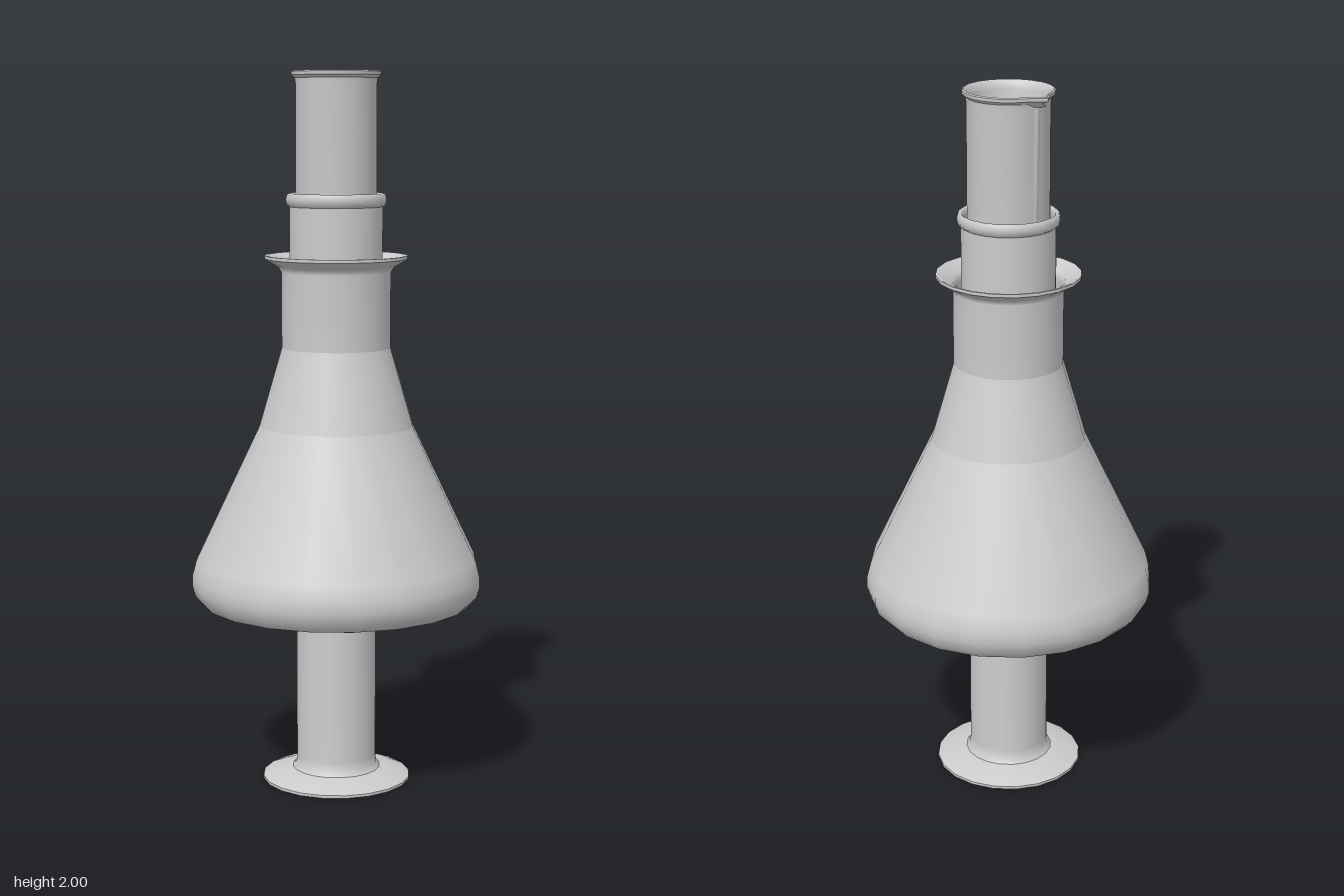
import * as THREE from 'three';
import { toCreasedNormals } from 'three/addons/utils/BufferGeometryUtils.js';

const SIDES = 20;
const material = new THREE.MeshStandardMaterial({ color: 0xcccccc, side: THREE.DoubleSide });

// Turned glass from [radius, height, sharp] points; sharp points are doubled to split the normals.
function turned(profile) {
  const points = [];
  for (const [r, y, sharp] of profile) {
    points.push(new THREE.Vector2(r, y));
    if (sharp) points.push(new THREE.Vector2(r, y));
  }
  return new THREE.LatheGeometry(points, SIDES);
}

function part(name, geometry) {
  const mesh = new THREE.Mesh(geometry, material);
  mesh.name = name;
  return mesh;
}

// Tall measuring cylinder with a foot, a rolled rim and a pouring spout
function measuringCylinder() {
  const geometry = turned([
    [0, 0.005], [0.19, 0.005], [0.21, 0], [0.21, 0.008], [0.18, 0.02], [0.145, 0.028],
    [0.125, 0.032], [0.115, 0.045], [0.113, 0.07],
    [0.113, 1.965], [0.115, 1.98], [0.124, 1.988], [0.125, 1.997], [0.121, 2],
    [0.113, 1.992], [0.108, 1.975], [0.108, 0.04], [0, 0.04],
  ]);
  // Pull the rim outwards on the spout side
  const pos = geometry.attributes.position;
  for (let i = 0; i < pos.count; i++) {
    const x = pos.getX(i), y = pos.getY(i);
    if (y > 1.97 && x < 0 && Math.abs(pos.getZ(i)) < 0.01) {
      pos.setX(i, x - 0.028 * Math.min(1, (y - 1.97) / 0.018));
    }
  }
  return part('measuringCylinder', toCreasedNormals(geometry, 0.7));
}

// Conical flask with a flared lip and thin walls
function conicalFlask() {
  return part('conicalFlask', turned([
    [0, 0.525], [0.25, 0.525], [0.285, 0.513], [0.35, 0.51], [0.38, 0.518], [0.4, 0.54],
    [0.409, 0.57], [0.408, 0.6], [0.396, 0.645],
    [0.217, 1.02, 1], [0.153, 1.24, 1], [0.153, 1.45], [0.162, 1.465], [0.2, 1.487, 1],
    [0.2, 1.496, 1], [0.194, 1.496, 1], [0.155, 1.475], [0.145, 1.455], [0.145, 1.24, 1],
    [0.209, 1.02, 1], [0.388, 0.645], [0.4, 0.59], [0.385, 0.545], [0.35, 0.535], [0, 0.535],
  ]));
}

// Round-bottomed test tube with a bead around its mouth
function testTube() {
  const profile = [];
  for (let i = 0; i <= 8; i++) {
    const a = (i / 8) * Math.PI / 2;
    profile.push([0.13 * Math.sin(a), 0.68 - 0.13 * Math.cos(a)]);
  }
  profile.push([0.13, 1.63, 1], [0.138, 1.636], [0.141, 1.65], [0.138, 1.663], [0.132, 1.667],
    [0.126, 1.662], [0.122, 1.65]);
  for (let i = 8; i >= 0; i--) {
    const a = (i / 8) * Math.PI / 2;
    profile.push([0.122 * Math.sin(a), 0.68 - 0.122 * Math.cos(a)]);
  }
  return part('testTube', turned(profile));
}

export function createModel() {
  const group = new THREE.Group();
  group.name = 'laboratoryGlassware';
  group.add(measuringCylinder(), conicalFlask(), testTube());
  return group;
}
